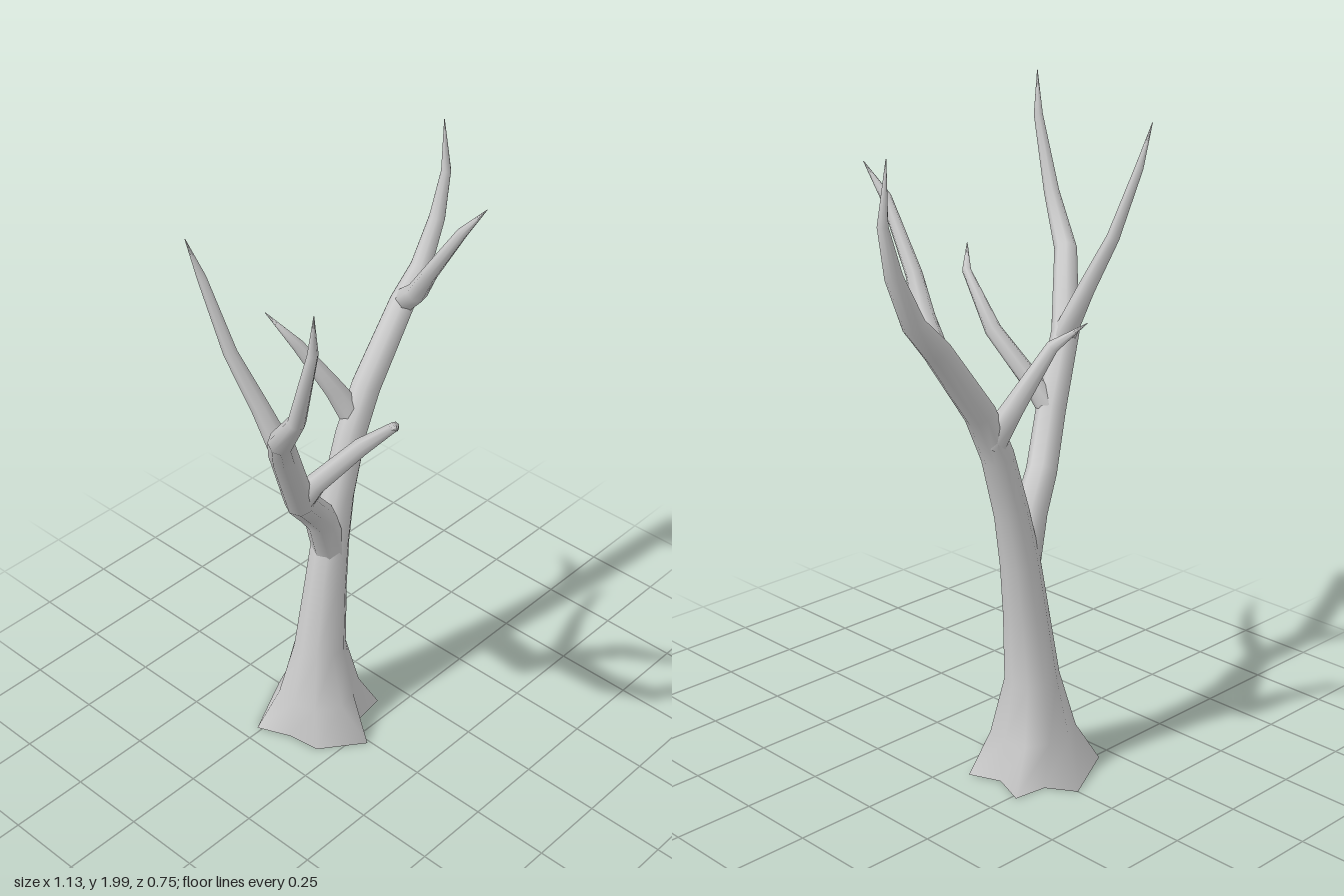
import * as THREE from 'three';

const bark = new THREE.MeshStandardMaterial({ color: 0xcccccc, side: THREE.DoubleSide });

// Lofts a smooth tapering limb through stations [x, y, z, radius].
// flare: optional root outline, offsets [dx, dz] around the first station.
function limb(name, path, sides, flare) {
  const pts = path.map(p => new THREE.Vector3(p[0], p[1], p[2]));
  const last = pts.length - 1;
  const pos = [], index = [];
  const u = new THREE.Vector3(1, 0, 0), v = new THREE.Vector3();
  pts.forEach((c, i) => {
    // Ring plane bisects the neighbouring segments
    const t = new THREE.Vector3();
    if (i > 0) t.add(c.clone().sub(pts[i - 1]).normalize());
    if (i < last) t.add(pts[i + 1].clone().sub(c).normalize());
    if (flare && i === 0) t.set(0, 1, 0);
    t.normalize();
    u.addScaledVector(t, -u.dot(t)).normalize();
    v.crossVectors(u, t);
    const r = Math.max(path[i][3], 0.001);
    for (let j = 0; j < sides; j++) {
      const a = j / sides * Math.PI * 2;
      const p = c.clone().addScaledVector(u, r * Math.cos(a)).addScaledVector(v, r * Math.sin(a));
      if (flare && i < 2) {
        const [dx, dz] = flare[j];
        p.lerp(new THREE.Vector3(c.x + dx, c.y, c.z + dz), i === 0 ? 1 : 0.18);
      }
      pos.push(p.x, p.y, p.z);
      if (i < last) {
        const k = (j + 1) % sides;
        const a0 = i * sides + j, c0 = i * sides + k;
        index.push(a0, a0 + sides, c0, c0, a0 + sides, c0 + sides);
      }
    }
  });
  const g = new THREE.BufferGeometry();
  g.setAttribute('position', new THREE.Float32BufferAttribute(pos, 3));
  g.setIndex(index);
  g.computeVertexNormals();
  const mesh = new THREE.Mesh(g, bark);
  mesh.name = name;
  return mesh;
}

export function createModel() {
  const tree = new THREE.Group();
  tree.name = 'bareTree';

  // Star-shaped root outline, open underneath
  const roots = [
    [0.13, 0], [0.17, 0.095], [0.065, 0.11], [0, 0.205], [-0.13, 0.105],
    [-0.145, 0], [-0.19, -0.105], [0.01, -0.205], [0.065, -0.12], [0.17, -0.105],
  ];

  // Trunk running on into the left limb
  tree.add(limb('trunk', [
    [-0.01, 0, -0.16, 0.18], [-0.015, 0.13, -0.16, 0.115], [-0.01, 0.31, -0.16, 0.083],
    [0.018, 0.53, -0.16, 0.068], [0.045, 0.69, -0.163, 0.06], [0.08, 0.85, -0.163, 0.052],
    [0.137, 1.04, -0.162, 0.048], [0.205, 1.18, -0.162, 0.046], [0.37, 1.395, -0.168, 0.04],
    [0.45, 1.48, -0.168, 0.033], [0.515, 1.62, -0.165, 0.025], [0.55, 1.76, -0.165, 0.015],
    [0.53, 1.93, -0.16, 0],
  ], 10, roots));

  // Right limb
  tree.add(limb('rightLimb', [
    [0.04, 0.66, -0.16, 0.055], [-0.02, 0.825, -0.14, 0.05], [-0.1, 0.92, -0.105, 0.046],
    [-0.225, 1.06, -0.02, 0.045], [-0.31, 1.28, 0.005, 0.042], [-0.47, 1.48, 0.16, 0.035],
    [-0.53, 1.63, 0.28, 0.024], [-0.535, 1.86, 0.345, 0.014], [-0.56, 1.99, 0.375, 0],
  ], 8));

  // Side branches, each rooted inside its limb
  const branches = {
    leftFrontBranch: [
      [0.375, 1.4, -0.165, 0.037], [0.345, 1.47, -0.09, 0.032], [0.315, 1.57, -0.02, 0.024],
      [0.298, 1.76, 0.11, 0.016], [0.315, 1.85, 0.18, 0]],
    leftBackBranch: [
      [0.165, 1.08, -0.165, 0.044], [0.12, 1.19, -0.21, 0.032], [0.03, 1.36, -0.27, 0.019],
      [0, 1.44, -0.37, 0]],
    rightBackBranch: [
      [-0.3, 1.27, 0, 0.037], [-0.33, 1.42, -0.06, 0.027], [-0.365, 1.58, -0.13, 0.02],
      [-0.385, 1.79, -0.205, 0.013], [-0.425, 1.915, -0.215, 0]],
    rightFrontBranch: [
      [-0.225, 1.06, -0.02, 0.04], [-0.2, 1.13, 0.02, 0.032], [-0.145, 1.29, 0.145, 0.026],
      [-0.175, 1.44, 0.29, 0.014], [-0.25, 1.5, 0.365, 0]],
  };
  for (const [name, path] of Object.entries(branches)) tree.add(limb(name, path, 7));

  return tree;
}
